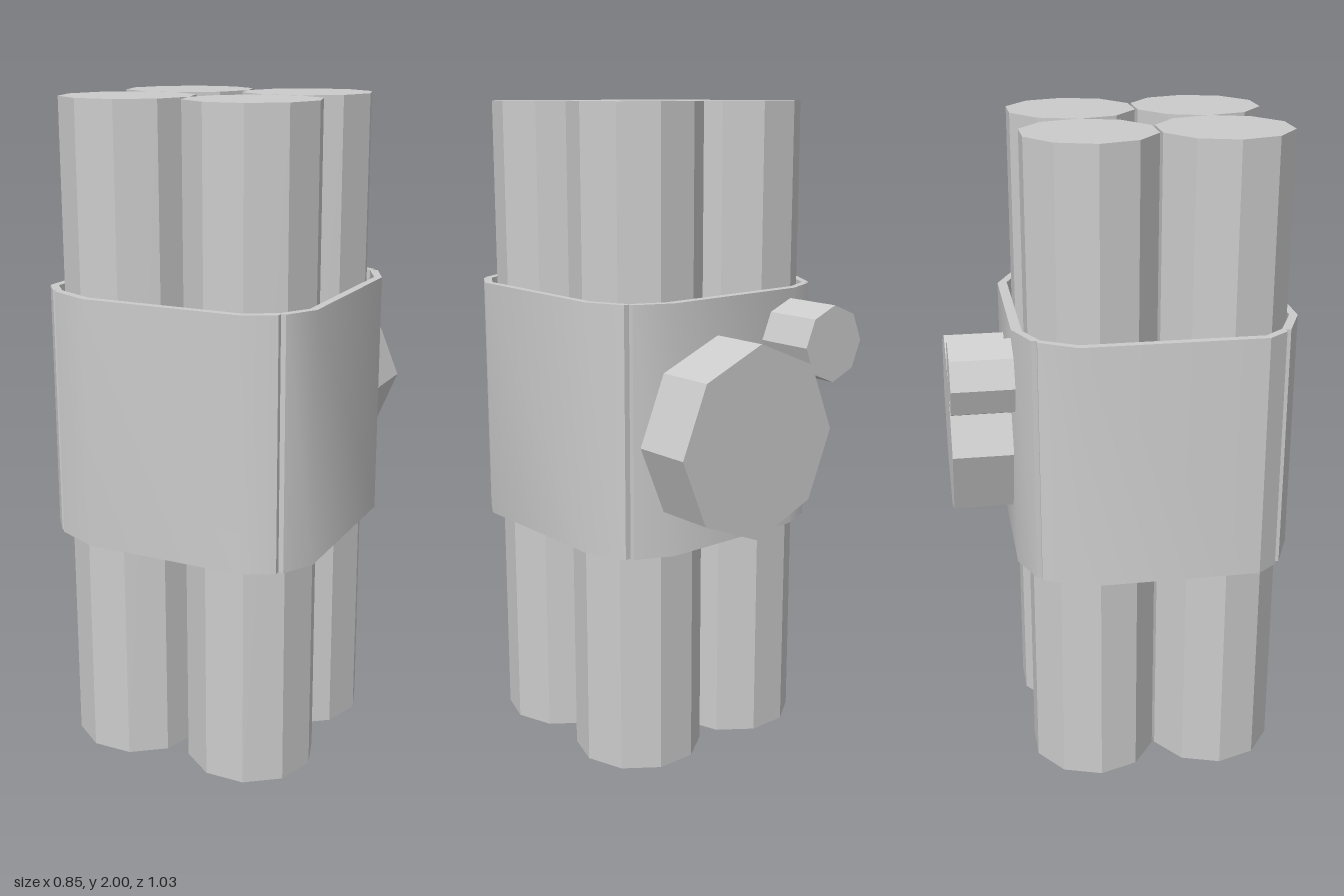
import * as THREE from 'three';
import { toCreasedNormals } from 'three/addons/utils/BufferGeometryUtils.js';

const flat = new THREE.MeshStandardMaterial({ color: 0xcccccc, flatShading: true });
const smooth = new THREE.MeshStandardMaterial({ color: 0xcccccc });

const toPoints = (list) => list.map(([x, z]) => new THREE.Vector2(x, z));

function addMesh(parent, name, geometry, material) {
  const mesh = new THREE.Mesh(geometry, material);
  mesh.name = name;
  parent.add(mesh);
  return mesh;
}

export function createModel() {
  const model = new THREE.Group();
  model.name = 'bundle';

  // Four ten-sided sticks, with a corner pointing along x
  const sticks = new THREE.Group();
  sticks.name = 'sticks';
  model.add(sticks);
  const stick = new THREE.CylinderGeometry(0.198, 0.198, 2, 10, 1, false, Math.PI / 2);
  for (const x of [-0.202, 0.192]) {
    for (const z of [-0.102, 0.283]) {
      addMesh(sticks, 'stick', stick, flat).position.set(x, 1, z);
    }
  }

  // Wrap band: a thin rounded loop with small steps at the corners (x, z)
  const outer = [
    [-0.425, -0.165], [-0.36, -0.273], [-0.345, -0.273], [-0.345, -0.288], [-0.235, -0.335],
    [0.24, -0.335], [0.352, -0.285], [0.352, -0.27], [0.37, -0.27], [0.423, -0.16],
    [0.423, 0.36], [0.37, 0.451], [0.355, 0.451], [0.355, 0.467], [0.263, 0.515],
    [-0.23, 0.515], [-0.361, 0.457], [-0.361, 0.441], [-0.377, 0.441], [-0.425, 0.38],
  ];
  const inner = [
    [-0.4, -0.16], [-0.342, -0.263], [-0.25, -0.305], [0.245, -0.305], [0.347, -0.262], [0.399, -0.155],
    [0.399, 0.355], [0.347, 0.44], [0.258, 0.49], [-0.225, 0.49], [-0.35, 0.433], [-0.4, 0.373],
  ];
  const loop = new THREE.Shape(toPoints(outer));
  loop.holes.push(new THREE.Path(toPoints(inner)));
  const band = new THREE.ExtrudeGeometry(loop, { depth: 0.75, bevelEnabled: false });
  band.rotateX(Math.PI / 2).translate(0, 1.45, 0);
  addMesh(model, 'wrapBand', toCreasedNormals(band, 0.6), smooth);

  // Eight-sided dial and its small button on the back of the band
  const addKnob = (name, radius, x, y) => {
    const knob = new THREE.CylinderGeometry(radius, radius, 0.183, 8).rotateX(Math.PI / 2);
    addMesh(model, name, knob, flat).position.set(x, y, -0.4265);
  };
  addKnob('dial', 0.29, 0.075, 1.05);
  addKnob('button', 0.115, -0.22, 1.305);

  return model;
}
